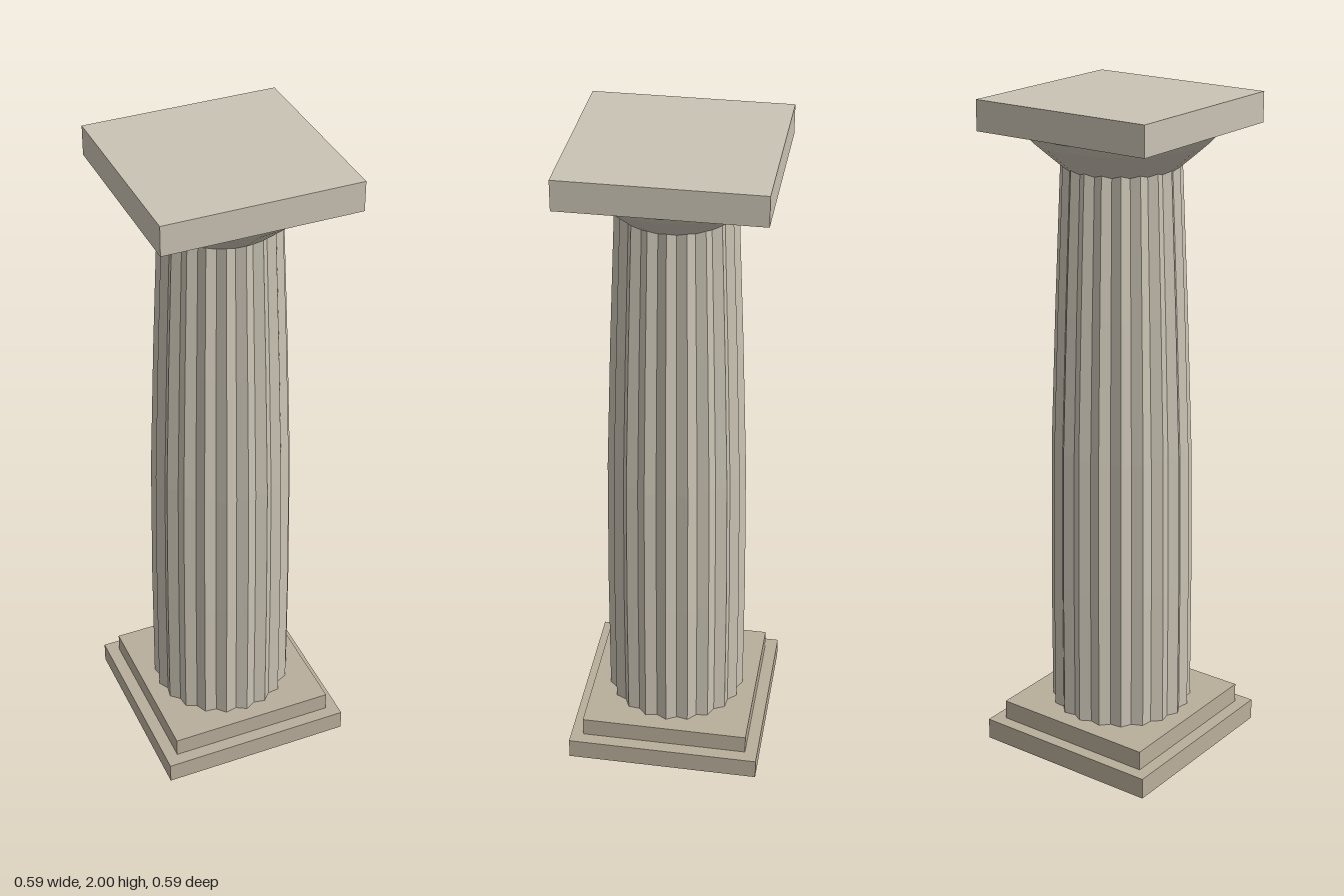
import * as THREE from 'three';

const stone = new THREE.MeshStandardMaterial({ color: 0xcac3b4, flatShading: true, side: THREE.DoubleSide });
const baseStone = new THREE.MeshStandardMaterial({ color: 0xb9ae9b, flatShading: true, side: THREE.DoubleSide });

function add(group, name, geometry, material) {
  const mesh = new THREE.Mesh(geometry, material);
  mesh.name = name;
  group.add(mesh);
  return mesh;
}

// Square slab between two heights; an open slab has no underside
function slab(width, y0, y1, open = false) {
  const g = new THREE.BoxGeometry(width, y1 - y0, width);
  g.translate(0, (y0 + y1) / 2, 0);
  if (open) {
    const index = Array.from(g.index.array);
    index.splice(18, 6);
    g.setIndex(index);
    g.clearGroups();
  }
  return g;
}

// Shaft with sharp ridges, V-shaped flutes and a swelling taper
function flutedShaft(flutes, y0, y1, radii) {
  const rings = radii.length - 1;
  const g = new THREE.CylinderGeometry(1, 1, 1, flutes * 2, rings, true);
  const p = g.attributes.position;
  for (let i = 0; i < p.count; i++) {
    const t = p.getY(i) + 0.5;
    const step = i % (flutes * 2 + 1);
    const r = radii[Math.round(t * rings)] * (step % 2 ? 0.93 : 1);
    p.setXYZ(i, p.getX(i) * r, y0 + t * (y1 - y0), p.getZ(i) * r);
  }
  g.computeVertexNormals();
  return g;
}

export function createModel() {
  const column = new THREE.Group();
  column.name = 'column';

  // Stepped base
  add(column, 'lowerStep', slab(0.59, 0, 0.065, true), baseStone);
  add(column, 'upperStep', slab(0.514, 0.065, 0.125), baseStone);

  // Shaft
  add(column, 'shaft', flutedShaft(20, 0.125, 1.82, [0.214, 0.213, 0.207, 0.191, 0.172]), stone);

  // Flared cushion under the top slab
  const profile = [[0, 1.8], [0.16, 1.8], [0.218, 1.85], [0.254, 1.882], [0.283, 1.913]];
  add(column, 'echinus', new THREE.LatheGeometry(profile.map(([x, y]) => new THREE.Vector2(x, y)), 20), stone);

  // Top slab
  add(column, 'abacus', slab(0.571, 1.912, 2), stone);

  return column;
}
